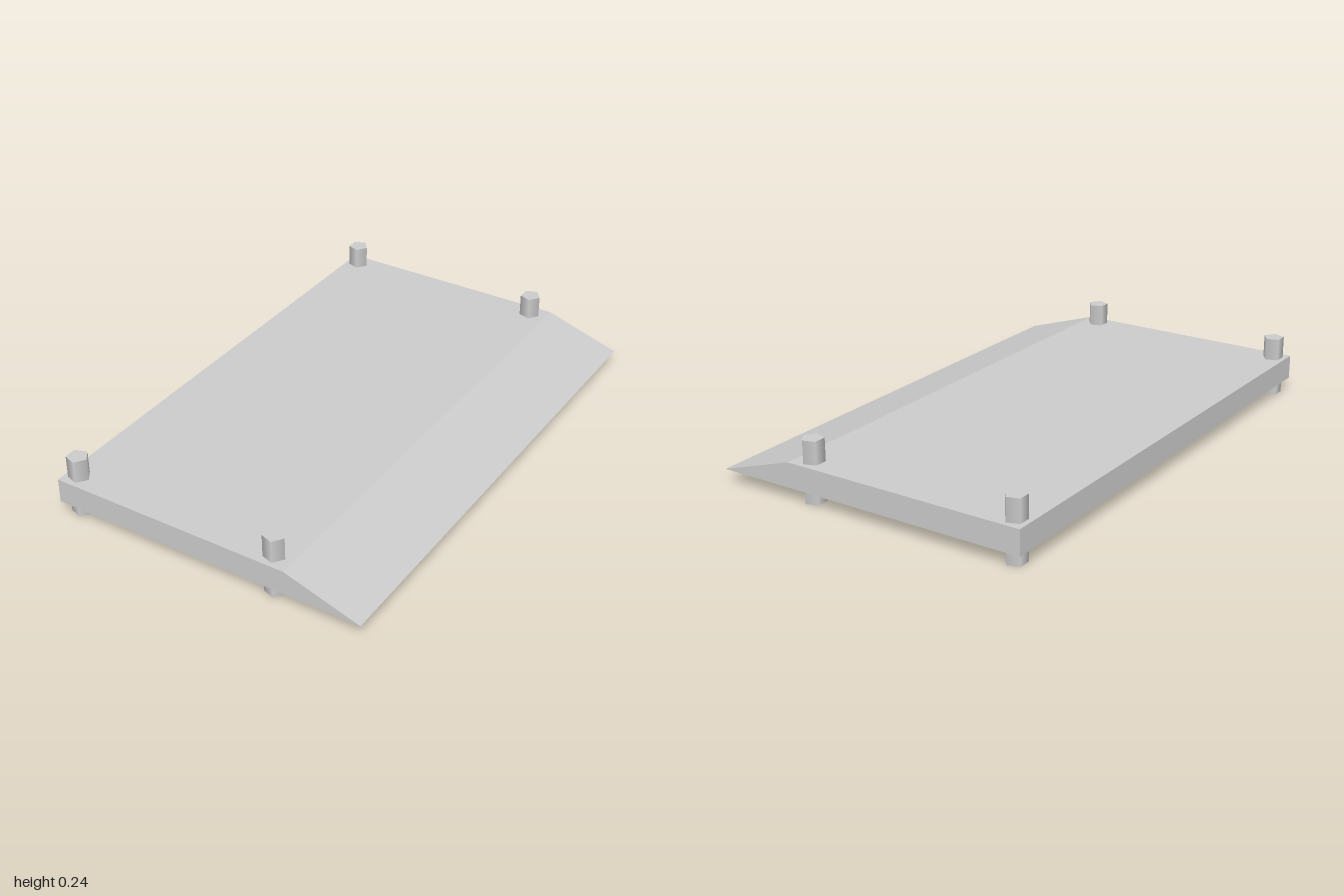
import * as THREE from 'three';

export function createModel() {
  const model = new THREE.Group();
  const material = new THREE.MeshStandardMaterial({ color: 0xcccccc });

  // Slab with a bevelled edge on its left side, extruded along z
  const profile = new THREE.Shape([
    new THREE.Vector2(-0.633, 0.054),
    new THREE.Vector2(0.633, 0.054),
    new THREE.Vector2(0.333, 0.15),
    new THREE.Vector2(-0.633, 0.15),
  ]);
  const slabGeometry = new THREE.ExtrudeGeometry(profile, { depth: 2, bevelEnabled: false });
  slabGeometry.translate(0, 0, -1);
  const slab = new THREE.Mesh(slabGeometry, material);
  slab.name = 'slab';
  model.add(slab);

  // Five-sided pegs through the corners, one point facing +x
  const height = 0.238;
  const pegGeometry = new THREE.CylinderGeometry(0.0415, 0.0415, height, 5, 1, false, Math.PI / 2);
  for (const x of [-0.58, 0.263]) {
    for (const z of [-0.943, 0.943]) {
      const peg = new THREE.Mesh(pegGeometry, material);
      peg.name = `${z > 0 ? 'front' : 'back'}${x > 0 ? 'Left' : 'Right'}Peg`;
      peg.position.set(x, height / 2, z);
      model.add(peg);
    }
  }
  return model;
}
